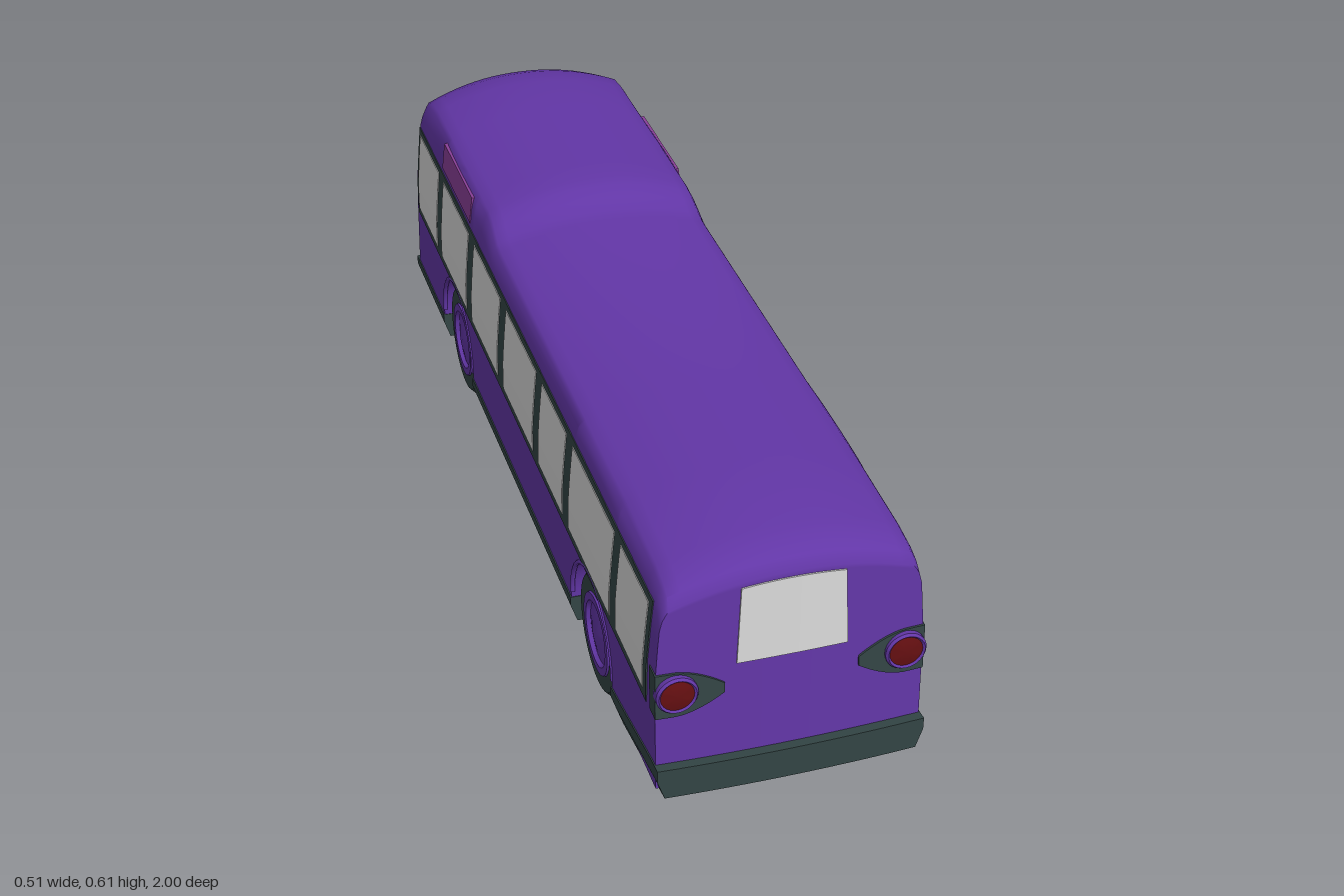
import * as THREE from 'three';
import { toCreasedNormals } from 'three/addons/utils/BufferGeometryUtils.js';

const flat = (name, color) => Object.assign(new THREE.MeshStandardMaterial({ color }), { name });
const { clamp } = THREE.MathUtils;

const WHEEL_Z = [-0.545, 0.555], WHEEL_R = 0.125, ARCH_R = 0.141, FLOOR = 0.1;

// roof centre line: [z, y]
const ROOF = [[-0.94, 0.565], [-0.925, 0.585], [-0.89, 0.598], [-0.82, 0.607], [-0.34, 0.607], [-0.31, 0.602],
  [-0.28, 0.59], [-0.25, 0.577], [-0.22, 0.572], [0.7, 0.572], [0.88, 0.565], [0.925, 0.557], [0.95, 0.545], [0.965, 0.525]];

function roofY(z) {
  let i = 1;
  while (i < ROOF.length - 1 && z > ROOF[i][0]) i++;
  const [z0, y0] = ROOF[i - 1], [z1, y1] = ROOF[i];
  return y0 + (y1 - y0) * clamp((z - z0) / (z1 - z0), 0, 1);
}

// half width of the body, leaning in above the waist
function halfWidth(y) {
  const d = Math.max(0, y - 0.33);
  return 0.25 - 0.06 * d - 0.15 * d * d;
}

// lean and bow of the two end faces
function bowZ(x, y, z) {
  if (z > 0) return z + clamp((z - 0.8) / 0.165, 0, 1) * (0.04 * (0.52 - y) - 0.12 * x * x);
  return z - clamp((-z - 0.8) / 0.14, 0, 1) * (0.08 * (0.55 - y) - 0.4 * x * x);
}
const faceZ = (x, y, dir) => bowZ(x, y, dir > 0 ? 0.965 : -0.94);

// underside height, lifted over the wheels
function floorY(z) {
  for (const c of WHEEL_Z) {
    const d = z - c;
    if (Math.abs(d) <= ARCH_R) return WHEEL_R + Math.sqrt(Math.max(0, ARCH_R * ARCH_R - d * d));
  }
  return FLOOR;
}

// unit box whose vertices (-0.5..0.5) are moved by a rule
function shapedBox(nx, ny, nz, rule, crease = 0.6) {
  const g = new THREE.BoxGeometry(1, 1, 1, nx, ny, nz), p = g.attributes.position;
  for (let i = 0; i < p.count; i++) p.setXYZ(i, ...rule(p.getX(i), p.getY(i), p.getZ(i)));
  return toCreasedNormals(g, crease);
}

function bodyGeometry() {
  const zs = ROOF.map(r => r[0]);
  for (const c of WHEEL_Z) {
    zs.push(c - ARCH_R - 0.0005, c + ARCH_R + 0.0005);
    for (let i = 0; i <= 16; i++) zs.push(c + ARCH_R * 0.9999 * Math.cos(i * Math.PI / 16));
  }
  zs.sort((a, b) => a - b);
  const vs = [0, 0.2, 0.4, 0.6, 0.8, 0.9, 0.95, 0.98, 1];
  return shapedBox(20, vs.length - 1, zs.length - 1, (a, b, c) => {
    const u = a * 2, v = vs[Math.round((b + 0.5) * (vs.length - 1))];
    const z = zs[Math.round((c + 0.5) * (zs.length - 1))];
    const top = roofY(z) - 0.042 * Math.abs(u) ** 2.2, low = floorY(z);
    const y = low + v * (top - low);
    const round = 0.012 * Math.max(0, (v - 0.9) / 0.1) ** 2;
    const x = u * (halfWidth(y) - round);
    return [x, y, bowZ(x, y, z)];
  }, 0.75);
}

// thin plate following the side wall
function sidePlate(side, z0, z1, y0, y1, off) {
  return shapedBox(1, 6, 1, (a, b, c) => {
    const y = y0 + (b + 0.5) * (y1 - y0);
    return [side * (halfWidth(y) + off - (a * side < 0 ? 0.007 : 0)), y, z0 + (c + 0.5) * (z1 - z0)];
  });
}

// thin plate following an end wall, with an arched top edge
function endPlate(dir, lowHalf, topHalf, y0, y1, arch, off) {
  return shapedBox(16, 4, 1, (a, b, c) => {
    const t = b + 0.5, x = 2 * a * (lowHalf + (topHalf - lowHalf) * t);
    const y = y0 + t * (y1 - arch * 4 * a * a - y0);
    return [x, y, faceZ(x, y, dir) + dir * (off - (c * dir < 0 ? 0.008 : 0))];
  });
}

// dark lower section; ends, top and bottom heights follow rules
function skirt(z0, z1, topY, lowY, bow) {
  return shapedBox(14, 2, 8, (a, b, c) => {
    const zc = z0 + (c + 0.5) * (z1 - z0);
    const y = [lowY(zc), lowY(zc) + 0.04, topY(zc)][Math.round((b + 0.5) * 2)];
    const x = 2 * a * (b < -0.1 ? 0.239 : 0.2525);
    return [x, y, zc + bow(zc) * x * x];
  }, 0.3);
}

// round part along +x from a [radius, offset] profile
function turned(points, segments = 40) {
  const g = new THREE.LatheGeometry(points.map(p => new THREE.Vector2(...p)), segments);
  return toCreasedNormals(g.rotateZ(-Math.PI / 2), 0.6);
}

export function createModel() {
  const paint = flat('purple paint', 0x6236a6), dark = flat('dark trim', 0x334545);
  const glass = flat('pale glass', 0xd8d8d8), red = flat('red lens', 0x661012), sign = flat('sign panel', 0x8a3f98);
  const bus = new THREE.Group();
  bus.name = 'bus';
  const add = (name, geometry, material, x = 0, y = 0, z = 0) => {
    const m = new THREE.Mesh(geometry, material);
    m.name = name;
    m.position.set(x, y, z);
    bus.add(m);
    return m;
  };

  add('body', bodyGeometry(), paint);

  // skirts and bumpers
  add('frontBumper', skirt(-1, -0.685, () => 0.11, () => 0.05, z => 0.5 * clamp((-z - 0.8) / 0.2, 0, 1)), dark);
  add('middleSkirt', skirt(-0.405, 0.415, () => 0.11, () => 0.05, () => 0), dark);
  add('rearBumper', skirt(0.695, 1, z => 0.11 + 0.045 * clamp((z - 0.7) / 0.28, 0, 1),
    z => 0.048 + 0.042 * clamp((z - 0.73) / 0.27, 0, 1), z => -0.12 * clamp((z - 0.8) / 0.2, 0, 1)), dark);

  // side windows, doors and destination panels
  const windows = [[0.73, 0.9], [0.41, 0.69], [-0.1, 0.14], [-0.38, -0.15], [-0.67, -0.43]];
  const doorBays = [[0.185, 0.365], [-0.905, -0.715]];
  for (const s of [1, -1]) {
    add('windowBand', sidePlate(s, -0.92, 0.918, 0.257, 0.478, 0.002), dark);
    for (const [a, b] of s > 0 ? windows : [...windows, ...doorBays])
      add('sideWindow', sidePlate(s, a, b, 0.276, 0.464, 0.0035), glass);
    add('sideSign', sidePlate(s, -0.69, -0.43, 0.49, 0.55, 0.002), sign);
  }
  for (const [a, b, panes] of [[0.175, 0.372, [[0.19, 0.255], [0.292, 0.355]]], [-0.922, -0.708, [[-0.892, -0.832], [-0.785, -0.728]]]]) {
    add('door', sidePlate(1, a, b, 0.07, 0.477, 0.0035), dark);
    for (const [c, d] of panes) add('doorPane', sidePlate(1, c, d, 0.14, 0.462, 0.005), glass);
  }

  // end windows and front sign
  add('windshield', endPlate(-1, 0.236, 0.228, 0.285, 0.49, 0.016, 0.004), glass);
  add('frontSign', endPlate(-1, 0.175, 0.165, 0.502, 0.546, 0.018, 0.003), sign);
  add('rearWindow', endPlate(1, 0.103, 0.096, 0.352, 0.515, 0.006, 0.003), glass);

  // headlights
  const ring = r => turned([[r + 0.007, -0.012], [r + 0.007, 0.006], [r + 0.003, 0.011], [r - 0.002, 0.006]], 28);
  const lens = r => turned([[r, 0], [r, 0.007], [r * 0.6, 0.01], [0, 0.011]], 28);
  for (const x of [-0.19, -0.105, 0.105, 0.19]) {
    const z = faceZ(x, 0.18, -1);
    add('headlightRing', ring(0.027), paint, x, 0.18, z).rotation.y = Math.PI / 2;
    add('headlight', lens(0.027), glass, x, 0.18, z).rotation.y = Math.PI / 2;
  }

  // tail lights on tapering shrouds
  for (const s of [1, -1]) {
    add('tailLightShroud', shapedBox(10, 1, 1, (a, b, c) => {
      const x = s * 0.188 + a * 0.126, k = clamp((0.215 - Math.abs(x)) / 0.09, 0, 1);
      const y = 0.305 + 2 * b * (0.047 - 0.037 * k ** 1.7);
      return [x, y, faceZ(x, y, 1) + (c > 0 ? 0.004 : -0.03)];
    }), dark);
    const z = faceZ(0.213, 0.31, 1) + 0.005;
    add('tailLightRing', ring(0.032), paint, s * 0.213, 0.31, z).rotation.y = -Math.PI / 2;
    add('tailLight', lens(0.033), red, s * 0.213, 0.31, z).rotation.y = -Math.PI / 2;
  }

  // wheels and arch lips
  const tyre = turned([[0, -0.034], [0.115, -0.034], [0.125, -0.024], [0.125, 0.024], [0.115, 0.034], [0.08, 0.034]]);
  const hub = turned([[0.085, 0.03], [0.082, 0.038], [0.066, 0.038], [0.061, 0.03], [0.03, 0.036], [0, 0.038]]);
  const lip = new THREE.TorusGeometry(ARCH_R, 0.005, 8, 28, Math.PI).rotateY(Math.PI / 2);
  for (const z of WHEEL_Z) for (const s of [1, -1]) {
    for (const [name, g, m] of [['tyre', tyre, dark], ['hub', hub, paint]])
      add(name, g, m, s * 0.204, WHEEL_R, z).rotation.y = s > 0 ? 0 : Math.PI;
    add('archLip', lip, paint, s * 0.248, WHEEL_R, z);
  }

  // lights on the +z end face outward
  bus.traverse(o => {
    if (o.name.startsWith('tailLight') && o.name !== 'tailLightShroud') o.rotation.y = -Math.PI / 2;
  });
  return bus;
}
